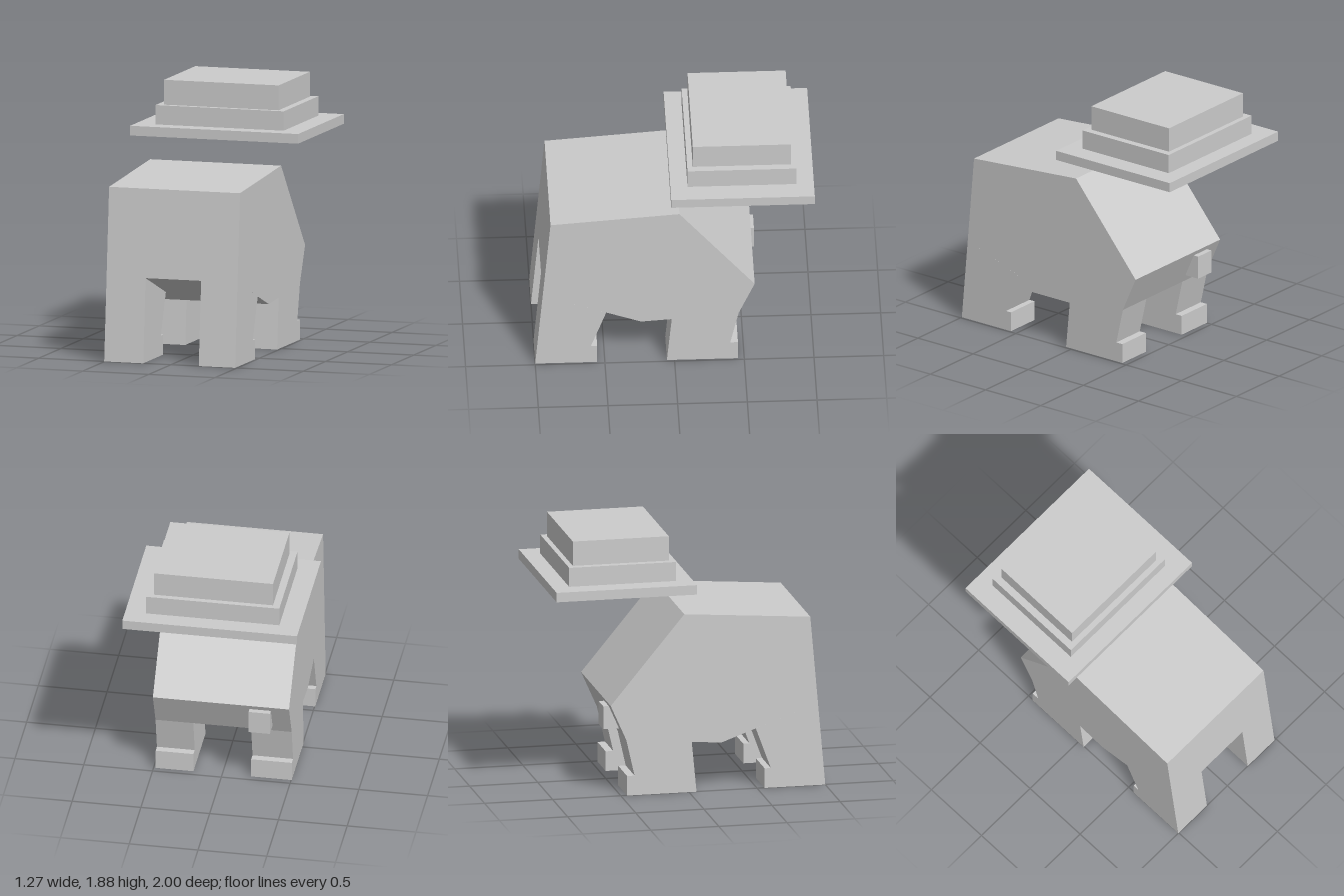
import * as THREE from 'three';

const material = new THREE.MeshStandardMaterial({ color: 0xcccccc, flatShading: true });

// Side profile given as [z, y] points, extruded from x0 to x1
function slab(name, profile, x0, x1) {
  const shape = new THREE.Shape(profile.map(([z, y]) => new THREE.Vector2(z, y)));
  const geometry = new THREE.ExtrudeGeometry(shape, { depth: x1 - x0, bevelEnabled: false });
  geometry.rotateY(-Math.PI / 2).translate(x1, 0, 0);
  const mesh = new THREE.Mesh(geometry, material);
  mesh.name = name;
  return mesh;
}

// Box given by its limits on each axis
function block(name, [x0, x1], [y0, y1], [z0, z1]) {
  const mesh = new THREE.Mesh(new THREE.BoxGeometry(x1 - x0, y1 - y0, z1 - z0), material);
  mesh.position.set((x0 + x1) / 2, (y0 + y1) / 2, (z0 + z1) / 2);
  mesh.name = name;
  return mesh;
}

export function createModel() {
  const group = new THREE.Group();
  group.name = 'hattedAnimal';
  const right = -0.505, left = 0.485, gap = 0.21;

  // Trunk with sloping back and belly
  group.add(slab('body', [
    [0.946, 0.61], [0.89, 1.25], [-0.035, 1.32], [-0.575, 0.67],
    [-0.46, 0.41], [0.02, 0.37], [0.24, 0.355],
  ], right, left));

  // Legs, each with a heel step at the back
  const frontLeg = [[1, 0], [0.946, 0.61], [0.49, 0.445], [0.6, 0.145], [0.555, 0.145], [0.555, 0]];
  const backLeg = [[0.055, 0], [0.02, 0.37], [-0.46, 0.41], [-0.4, 0.145], [-0.455, 0.145], [-0.455, 0]];
  for (const [side, x0, x1] of [['Right', right, -gap], ['Left', gap, left]]) {
    group.add(slab('frontLeg' + side, frontLeg, x0, x1));
    group.add(slab('backLeg' + side, backLeg, x0, x1));
  }

  // Stub tail, set off to one side
  group.add(block('tail', [-0.37, -0.215], [0.465, 0.635], [-0.6, -0.45]));

  // Floating stepped hat
  const hat = new THREE.Group();
  hat.name = 'hat';
  hat.add(
    block('hatBrim', [-0.635, 0.635], [1.495, 1.565], [-1, 0.03]),
    block('hatBand', [-0.485, 0.485], [1.565, 1.705], [-0.875, -0.093]),
    block('hatCrown', [-0.433, 0.433], [1.705, 1.885], [-0.837, -0.133]),
  );
  group.add(hat);
  return group;
}
